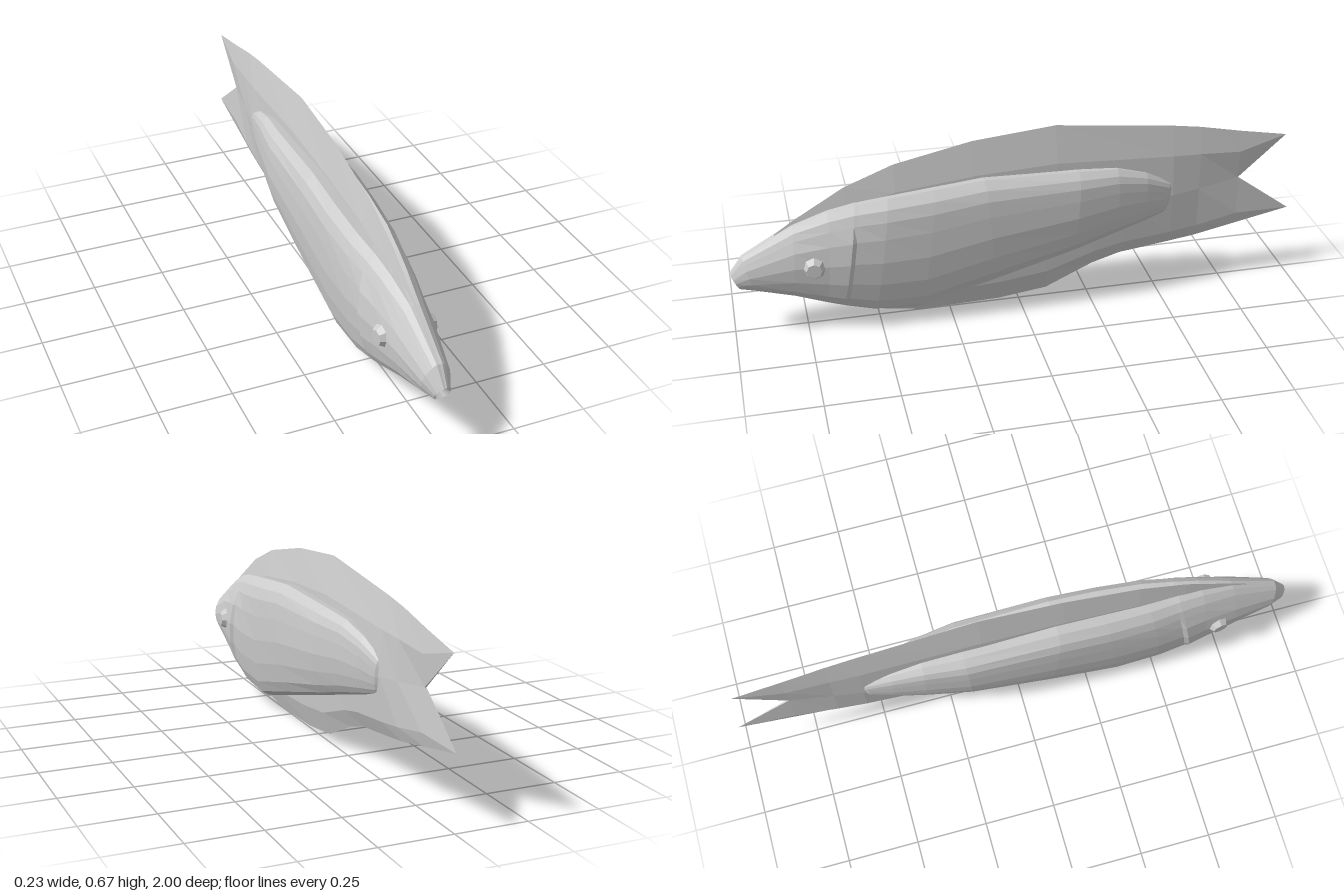
import * as THREE from 'three';

const material = new THREE.MeshStandardMaterial({ color: 0xcccccc, flatShading: true });

// Skin a list of rings (counter-clockwise seen from +z) running front to back.
function loft(name, rings) {
  const pos = [];
  const tri = (a, b, c) => {
    const area = b.clone().sub(a).cross(c.clone().sub(a)).length();
    if (area > 1e-8) for (const p of [a, b, c]) pos.push(p.x, p.y, p.z);
  };
  for (let i = 0; i < rings.length - 1; i++) {
    const r = rings[i], s = rings[i + 1], n = r.length;
    for (let j = 0; j < n; j++) {
      const k = (j + 1) % n;
      tri(r[j], s[j], r[k]);
      tri(r[k], s[j], s[k]);
    }
  }
  const geo = new THREE.BufferGeometry();
  geo.setAttribute('position', new THREE.Float32BufferAttribute(pos, 3));
  geo.computeVertexNormals();
  const mesh = new THREE.Mesh(geo, material);
  mesh.name = name;
  return mesh;
}

const collapsed = (n, x, y, z) => Array.from({ length: n }, () => new THREE.Vector3(x, y, z));

// Half section, belly to back: height fraction, body width, head width, gill flare
const SECTION = [
  [0.0, 0, 0, 0], [0.01, 0.45, 0.4, 0], [0.05, 0.68, 0.62, 0], [0.14, 0.83, 0.82, 0.5],
  [0.3, 0.94, 0.96, 1], [0.5, 1, 1, 1], [0.7, 0.97, 0.86, 0.8], [0.84, 0.92, 0.62, 0],
  [0.93, 0.8, 0.45, 0], [1, 0.56, 0.2, 0], [0.97, 0, 0, 0],
];

// zTop, yTop, zBottom, yBottom, half width, head blend, gill flare
const BODY = [
  [1.0, 0.24, 0.968, 0.18, 0.027, 1, 0],
  [0.955, 0.3, 0.92, 0.172, 0.048, 1, 0],
  [0.78, 0.4, 0.79, 0.138, 0.077, 1, 0],
  [0.66, 0.447, 0.68, 0.1, 0.094, 0.7, 0],
  [0.57, 0.47, 0.63, 0.085, 0.1, 0.45, 0.009],
  [0.555, 0.472, 0.615, 0.08, 0.1, 0.4, 0],
  [0.46, 0.488, 0.52, 0.056, 0.107, 0.15, 0],
  [0.3, 0.508, 0.36, 0.05, 0.111, 0, 0],
  [0.13, 0.525, 0.1, 0.122, 0.113, 0, 0],
  [-0.2, 0.517, -0.18, 0.203, 0.106, 0, 0],
  [-0.34, 0.505, -0.34, 0.25, 0.084, 0, 0],
  [-0.45, 0.472, -0.44, 0.277, 0.063, 0, 0],
  [-0.54, 0.425, -0.52, 0.3, 0.04, 0, 0],
  [-0.56, 0.39, -0.55, 0.33, 0.02, 0, 0],
];

function bodyRing([zT, yT, zB, yB, w, head, gill]) {
  const half = SECTION.map(([f, wb, wh, g]) => new THREE.Vector3(
    w * THREE.MathUtils.lerp(wb, wh, head) + gill * g,
    THREE.MathUtils.lerp(yB, yT, f === 0.97 ? 0.97 + 0.03 * head : f),
    THREE.MathUtils.lerp(zB, zT, f)));
  const left = half.slice(1, -1).reverse().map(p => new THREE.Vector3(-p.x, p.y, p.z));
  return [...half, ...left];
}

// Fin blades: z, outer edge y, inner y, shoulder half width, inner half width
const UPPER_FIN = [
  [0.84, 0.37, 0.3, 0.005, 0.008],
  [0.78, 0.412, 0.3, 0.008, 0.012],
  [0.6, 0.52, 0.34, 0.015, 0.025],
  [0.43, 0.587, 0.36, 0.022, 0.032],
  [0.16, 0.645, 0.36, 0.027, 0.038],
  [-0.13, 0.673, 0.36, 0.03, 0.04],
  [-0.55, 0.627, 0.37, 0.023, 0.032],
  [-0.65, 0.612, 0.38, 0.018, 0.02],
  [-0.8, 0.581, 0.4, 0.012, 0.003],
];
const LOWER_FIN = [
  [0.62, 0.09, 0.3, 0.01, 0.015],
  [0.48, 0.025, 0.3, 0.022, 0.03],
  [0.35, 0.006, 0.3, 0.026, 0.035],
  [0.07, 0.014, 0.34, 0.026, 0.038],
  [-0.1, 0.036, 0.36, 0.026, 0.038],
  [-0.27, 0.115, 0.36, 0.025, 0.037],
  [-0.37, 0.145, 0.36, 0.024, 0.036],
  [-0.55, 0.168, 0.37, 0.022, 0.032],
  [-0.65, 0.182, 0.38, 0.018, 0.02],
  [-0.8, 0.213, 0.4, 0.012, 0.003],
];

// Wedge-shaped blade ending in a pointed tail lobe
function fin(name, stations, tip, dir, shoulder) {
  const rings = stations.map(([z, outer, inner, s, b]) => {
    const y = THREE.MathUtils.lerp(outer, inner, shoulder);
    return [[0, outer], [s, y], [b, inner], [-b, inner], [-s, y]]
      .map(([x, py]) => new THREE.Vector3(x * dir, py, z));
  });
  const [z0, o0, i0] = stations[0];
  return loft(name, [collapsed(5, 0, (o0 + i0) / 2, z0), ...rings, collapsed(5, 0, tip[1], tip[0])]);
}

export function createModel() {
  const fish = new THREE.Group();
  fish.name = 'fish';

  // Body, starting inside the mouth cavity
  const rings = BODY.map(bodyRing);
  const n = rings[0].length;
  fish.add(loft('body', [collapsed(n, 0, 0.21, 0.94), ...rings, collapsed(n, 0, 0.36, -0.565)]));

  // Back and belly fins running into the forked tail
  fish.add(fin('backFin', UPPER_FIN, [-0.97, 0.55], -1, 0.42));
  fish.add(fin('bellyFin', LOWER_FIN, [-1, 0.254], 1, 0.25));

  // Faceted bulging eyes
  for (const side of [1, -1]) {
    const eye = new THREE.Group();
    eye.name = side > 0 ? 'leftEye' : 'rightEye';
    const ball = new THREE.Mesh(new THREE.CylinderGeometry(0.026, 0.046, 0.03, 8), material);
    ball.name = 'eyeball';
    ball.rotation.z = -side * Math.PI / 2;
    eye.add(ball);
    eye.rotation.y = -side * 0.15;
    eye.position.set(side * 0.087, 0.268, 0.72);
    fish.add(eye);
  }
  return fish;
}
